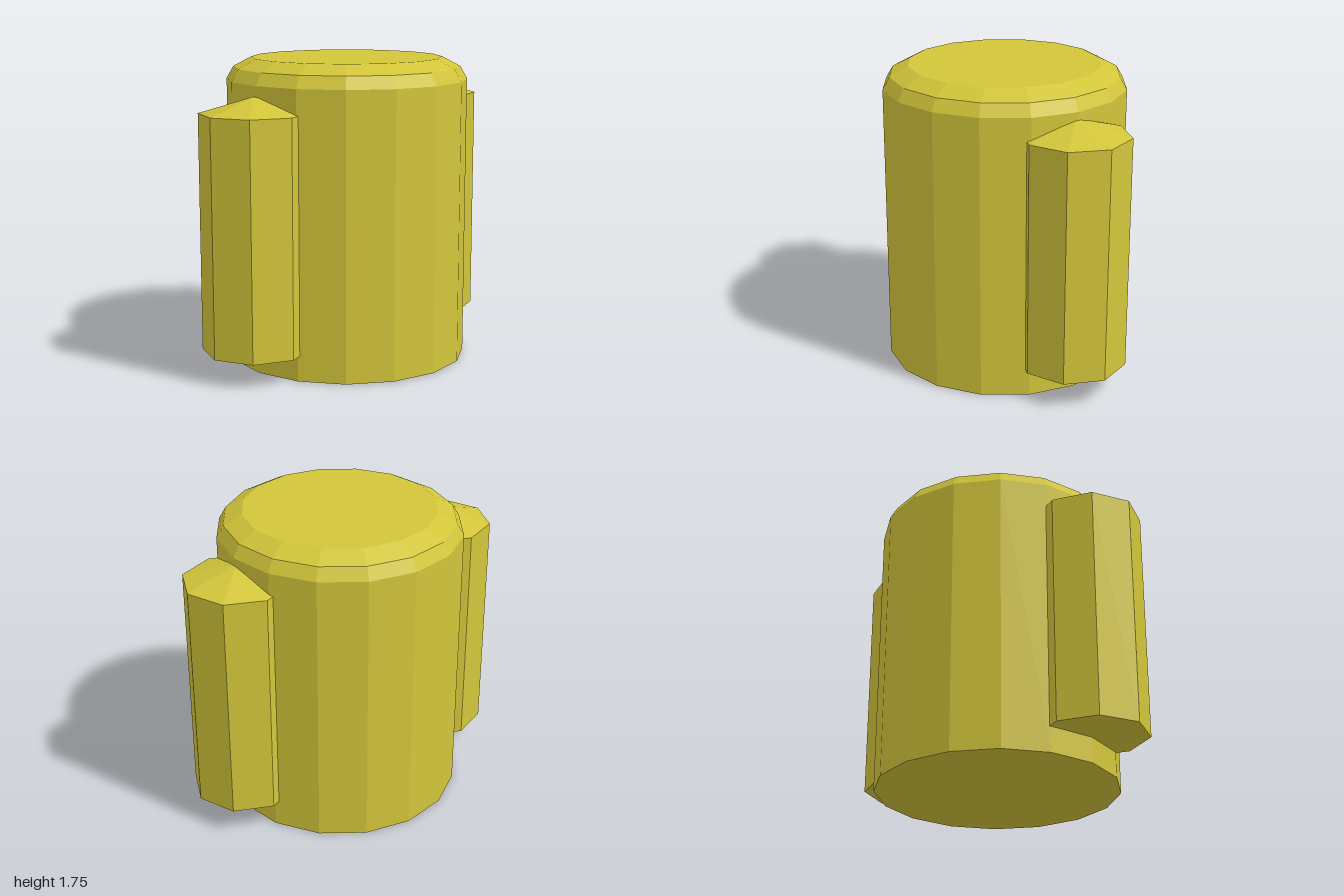
import * as THREE from 'three';

const material = new THREE.MeshStandardMaterial({ color: 0xd2c53a, flatShading: true });

// Closed faceted solid turned from [radius, height] pairs, bottom to top
function turned(name, profile, sides, y, z) {
  const points = profile.map(([r, h]) => new THREE.Vector2(r, h));
  const mesh = new THREE.Mesh(new THREE.LatheGeometry(points, sides), material);
  mesh.name = name;
  mesh.position.set(0, y, z);
  return mesh;
}

export function createModel() {
  const model = new THREE.Group();
  model.name = 'canister';

  // Main drum with a two-step bevelled top
  model.add(turned('drum',
    [[0, 0], [0.695, 0], [0.695, 1.62], [0.655, 1.69], [0.55, 1.745], [0, 1.745]],
    16, 0, -0.015));

  // Octagonal side columns with shallow pointed caps, half sunk into the drum
  const column = [[0, 0], [0.305, 0], [0.305, 1.33], [0, 1.42]];
  model.add(turned('frontColumn', column, 8, 0.145, 0.695));
  model.add(turned('backColumn', column, 8, 0.16, -0.692));

  return model;
}
